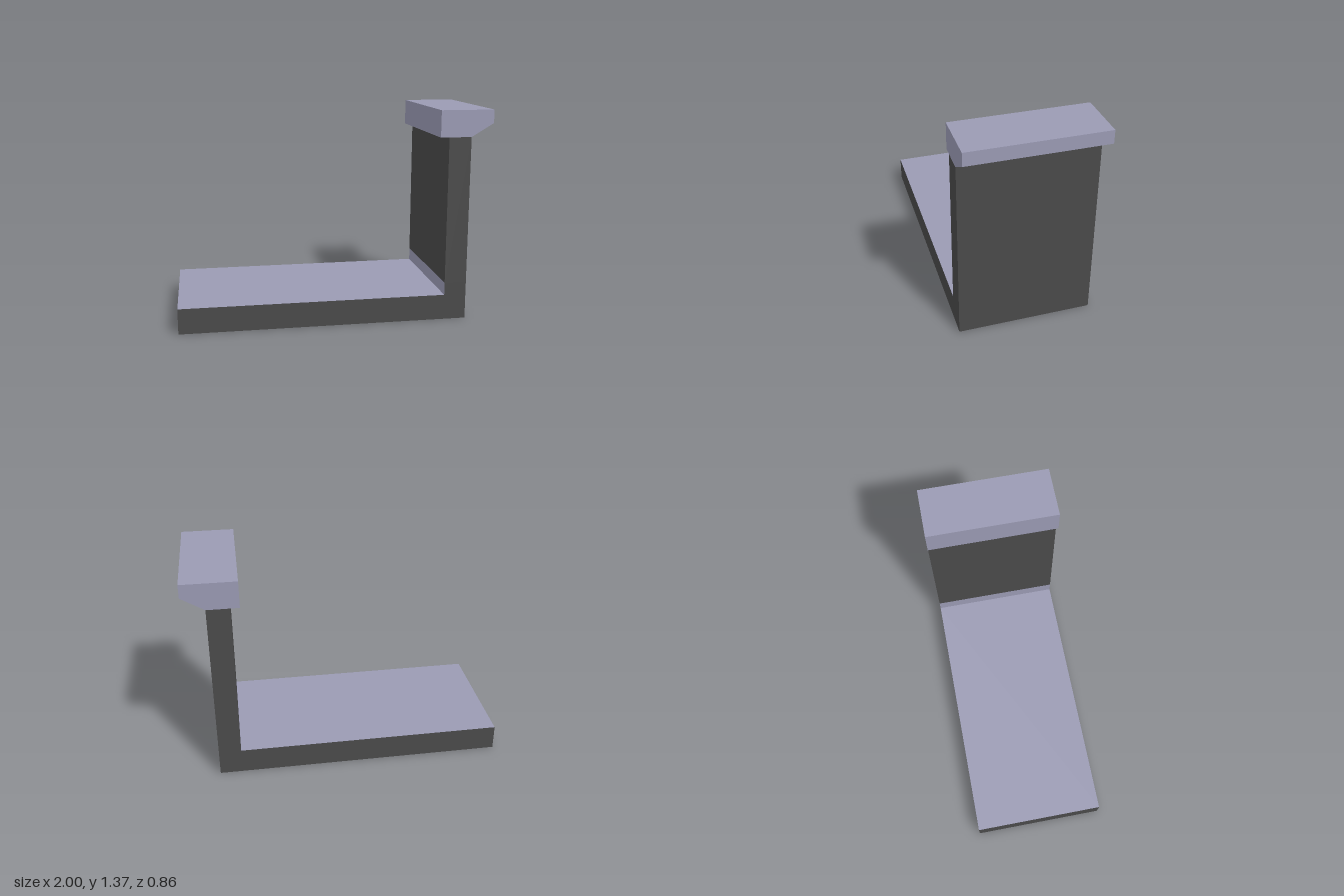
import * as THREE from 'three';

const DEPTH = 0.855;

export function createModel() {
  const dark = new THREE.MeshStandardMaterial({ color: 0x4a4a4a });
  dark.name = 'darkGrey';
  const pale = new THREE.MeshStandardMaterial({ color: 0x9a9ab3 });
  pale.name = 'paleLilac';

  const model = new THREE.Group();
  model.name = 'ledgeWall';

  // Full-depth block; paleSide is the box face index that gets the pale finish
  // (1 = -x, 2 = +y)
  function block(name, x0, x1, y0, y1, paleSide = -1) {
    const materials = Array.from({ length: 6 }, (_, i) => (i === paleSide ? pale : dark));
    const mesh = new THREE.Mesh(new THREE.BoxGeometry(x1 - x0, y1 - y0, DEPTH), materials);
    mesh.position.set((x0 + x1) / 2, (y0 + y1) / 2, 0);
    mesh.name = name;
    model.add(mesh);
  }

  // Floor slab with a pale walking surface
  block('floorSlab', -1, 0.713, 0, 0.165, 2);
  // Wall: the foot carries a pale skirting band on its inner side
  block('wallFoot', 0.713, 0.857, 0, 0.248, 1);
  block('wall', 0.713, 0.857, 0.248, 1.196);

  // Coping with a sloped underside on the outer edge
  const profile = new THREE.Shape([
    [0.657, 1.196], [0.857, 1.196], [1, 1.281], [1, 1.366], [0.657, 1.366],
  ].map(([x, y]) => new THREE.Vector2(x, y)));
  const copingGeometry = new THREE.ExtrudeGeometry(profile, { depth: DEPTH, bevelEnabled: false });
  copingGeometry.translate(0, 0, -DEPTH / 2);
  const coping = new THREE.Mesh(copingGeometry, pale);
  coping.name = 'coping';
  model.add(coping);

  return model;
}
